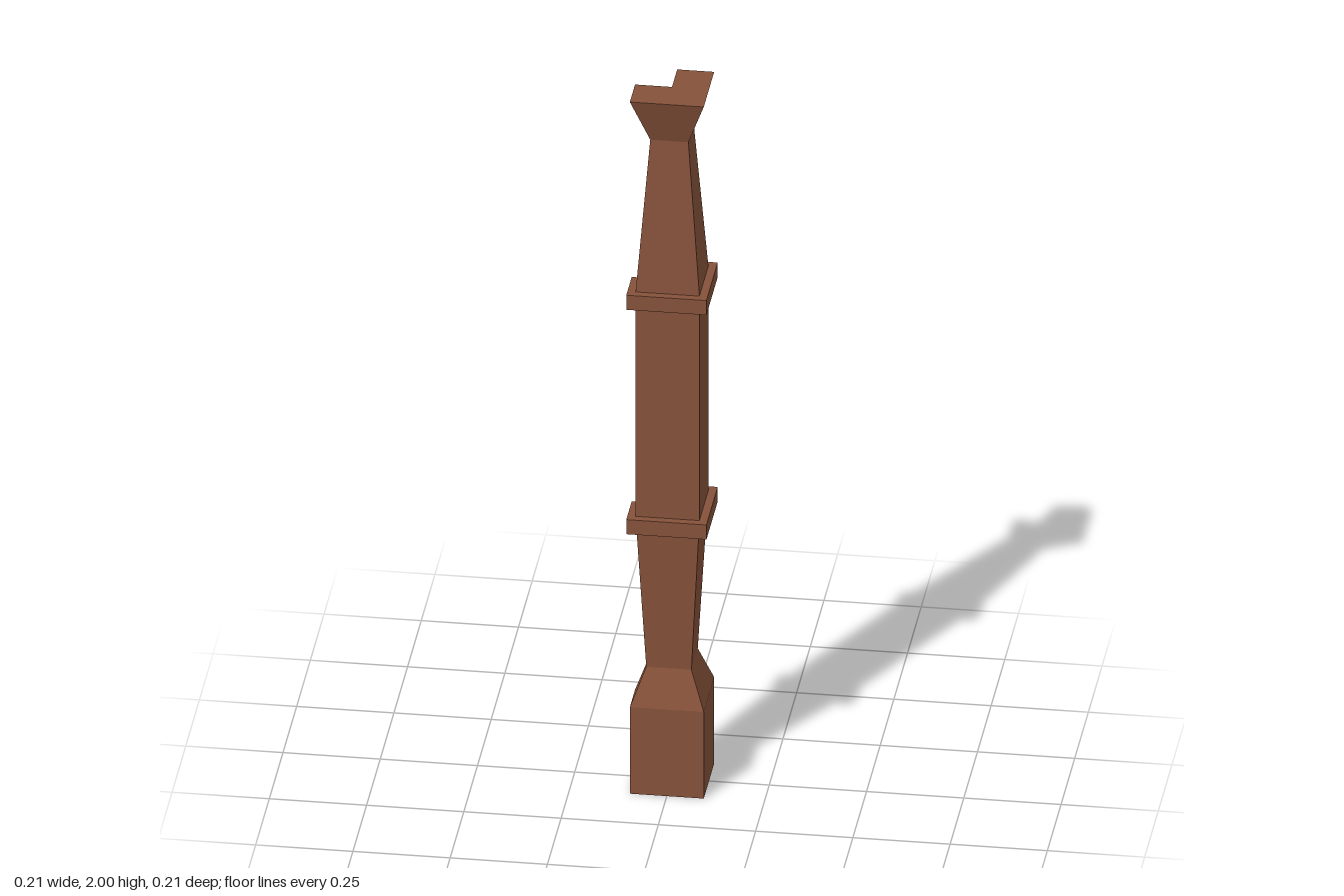
import * as THREE from 'three';

const wood = new THREE.MeshStandardMaterial({ color: 0x86523a, side: THREE.DoubleSide });
wood.name = 'brown wood';

// L-shaped outline, half-width w, inner corner at n; sign flips the second axis
function lShape(w, n, sign) {
  const pts = [[n, -w], [w, -w], [w, w], [-w, w], [-w, n], [n, n]];
  return new THREE.Shape(pts.map(([x, z]) => new THREE.Vector2(x, sign * z)));
}

// Outer walls of one post section, left open along the inner corner
function shell(y0, w0, y1, w1) {
  const path = (w, y) => [[0, -w], [w, -w], [w, w], [-w, w], [-w, 0]].map(([x, z]) => [x, y, z]);
  const a = path(w0, y0), b = path(w1, y1), pos = [];
  for (let i = 0; i < 4; i++) {
    pos.push(...a[i + 1], ...a[i], ...b[i], ...a[i + 1], ...b[i], ...b[i + 1]);
  }
  const g = new THREE.BufferGeometry();
  g.setAttribute('position', new THREE.Float32BufferAttribute(pos, 3));
  g.computeVertexNormals();
  return g;
}

export function createModel() {
  const group = new THREE.Group();
  group.name = 'cornerPost';
  const add = (name, geometry, y = 0) => {
    const mesh = new THREE.Mesh(geometry, wood);
    mesh.name = name;
    mesh.position.y = y;
    group.add(mesh);
  };

  // Stacked sections: bottom height, half-width, top height, half-width
  const sections = [
    ['foot', 0, 0.095, 0.25, 0.095],
    ['footShoulder', 0.25, 0.095, 0.35, 0.058],
    ['lowerTaper', 0.35, 0.058, 0.755, 0.08],
    ['shaft', 0.755, 0.082, 1.445, 0.082],
    ['upperTaper', 1.445, 0.082, 1.87, 0.049],
    ['capital', 1.87, 0.049, 2, 0.095],
  ];
  for (const [name, ...s] of sections) add(name, shell(...s));

  // End faces
  add('sole', new THREE.ShapeGeometry(lShape(0.095, 0, 1)).rotateX(Math.PI / 2));
  add('capitalTop', new THREE.ShapeGeometry(lShape(0.095, 0, -1)).rotateX(-Math.PI / 2), 2);

  // Two collar bands
  for (const [name, y] of [['lowerCollar', 0.754], ['upperCollar', 1.403]]) {
    const g = new THREE.ExtrudeGeometry(lShape(0.103, 0.004, -1), { depth: 0.042, bevelEnabled: false });
    add(name, g.rotateX(-Math.PI / 2), y);
  }
  return group;
}
